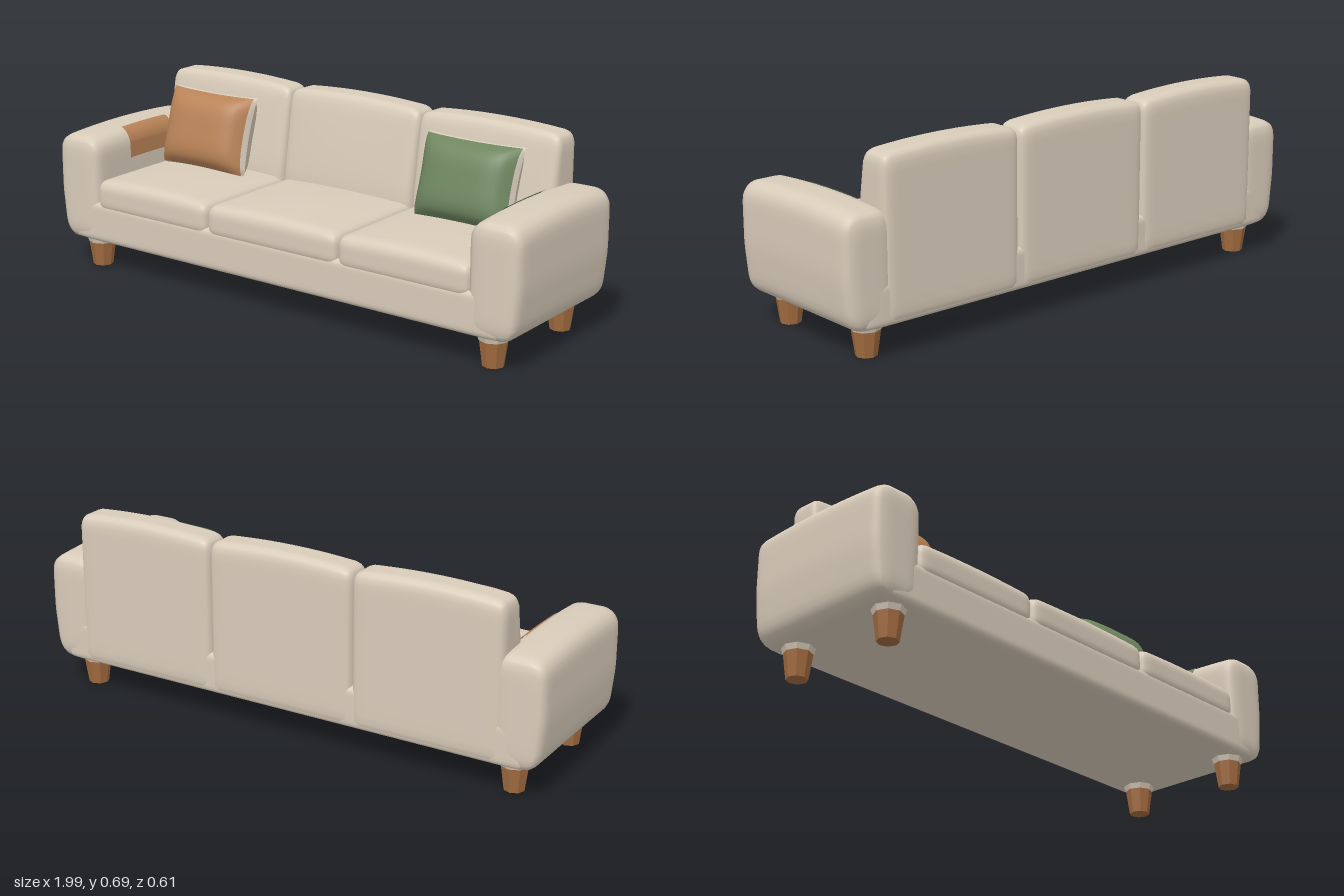
import * as THREE from 'three';
import { mergeVertices } from 'three/addons/utils/BufferGeometryUtils.js';

const paint = (color, extra = {}) => new THREE.MeshStandardMaterial({ color, ...extra });

// Move every vertex by a rule, then weld and smooth.
function reshape(geo, rule) {
  geo.deleteAttribute('uv');
  geo.deleteAttribute('normal');
  const p = geo.attributes.position, v = new THREE.Vector3();
  for (let i = 0; i < p.count; i++) {
    rule(v.fromBufferAttribute(p, i));
    p.setXYZ(i, v.x, v.y, v.z);
  }
  const out = mergeVertices(geo, 1e-5);
  out.computeVertexNormals();
  return out;
}

// Upholstered block between two corners, with its own rounding radius per axis.
function softBox(min, max, radius, bend = () => {}, n = 18) {
  const a = new THREE.Vector3(...min), b = new THREE.Vector3(...max), r = new THREE.Vector3(...radius);
  const mid = a.clone().add(b).multiplyScalar(0.5), half = b.clone().sub(a).multiplyScalar(0.5);
  const inner = half.clone().sub(r), core = new THREE.Vector3();
  return reshape(new THREE.BoxGeometry(2, 2, 2, n, n, n), v => {
    for (const k of ['x', 'y', 'z']) v[k] = Math.sin(v[k] * Math.PI / 2) * half[k];
    core.copy(v).clamp(inner.clone().negate(), inner);
    v.sub(core).divide(r).normalize().multiply(r).add(core);
    const u = v.clone().divide(half);
    v.add(mid);
    bend(v, u);
  });
}

// One side of a throw pillow: a square panel puffed out, with pinched sides.
function pillowSide(sign, extent, lift) {
  const geo = reshape(new THREE.PlaneGeometry(2 * extent, 2 * extent, 18, 18), v => {
    const { x: u, y: w } = v;
    const puff = Math.pow(Math.max(0, (1 - u ** 4) * (1 - w ** 4)), 0.55);
    v.set(0.195 * u * (1 - 0.05 * (1 - w * w)), 0.148 * w * (1 - 0.04 * (1 - u * u)),
      sign * (0.083 * puff + lift));
  });
  if (sign < 0) {
    geo.index.array.reverse();
    geo.computeVertexNormals();
  }
  return geo;
}

export function createModel() {
  const sofa = new THREE.Group();
  sofa.name = 'sofa';
  const fabric = paint(0xd8cbb9), wood = paint(0xa36c40, { flatShading: true });
  const cream = paint(0xd8cbb9, { side: THREE.DoubleSide });
  const rust = paint(0xb98357, { side: THREE.DoubleSide });
  const green = paint(0x6f8760, { side: THREE.DoubleSide });

  const add = (name, geo, mat, parent = sofa) => {
    const mesh = new THREE.Mesh(geo, mat);
    mesh.name = name;
    parent.add(mesh);
    return mesh;
  };

  // Base frame
  add('base', softBox([-0.93, 0.11, -0.3], [0.93, 0.265, 0.3], [0.03, 0.025, 0.025]), fabric);

  // Three seat cushions and three leaning back sections
  const seams = [-0.81, -0.285, 0.285, 0.81];
  for (let i = 0; i < 3; i++) {
    const x0 = seams[i], x1 = seams[i + 1];
    add('seatCushion', softBox([x0, 0.23, -0.2], [x1, 0.35, 0.303], [0.035, 0.04, 0.035], (v, u) => {
      if (u.y > 0) v.y += 0.016 * u.y * (1 - u.x * u.x) * (1 - 0.6 * u.z * u.z);
    }), fabric);
    const b0 = i === 0 ? -0.85 : x0, b1 = i === 2 ? 0.85 : x1;
    add('backSection', softBox([b0, 0.11, -0.305], [b1, 0.677, -0.13], [0.035, 0.045, 0.035], (v, u) => {
      if (u.z > -0.6) v.z -= 0.055 * Math.max(0, (v.y - 0.36) / 0.32) * (u.z + 0.6) / 1.6;
      if (u.z > 0) v.z += 0.012 * u.z * (1 - u.x * u.x) * (1 - u.y * u.y);
      if (u.y > 0) v.y += 0.014 * u.y * (1 - u.x * u.x);
    }), fabric);
  }

  // Arms crowned along their length and drawn in at the foot
  const armBend = v => {
    const h = (v.y - 0.11) / 0.39;
    v.y += 0.014 * Math.max(0, h) * (1 - (v.z / 0.3) ** 2);
    if (v.x > 0.9) v.x -= 0.2 * (v.x - 0.9) * Math.max(0, 1 - h * 2.2);
  };
  const arm = softBox([0.803, 0.11, -0.3], [0.997, 0.5, 0.304], [0.065, 0.065, 0.03], armBend);

  // Coloured cloth strip on the inner shoulder of each arm
  const strip = reshape(new THREE.CylinderGeometry(0.068, 0.068, 0.24, 10, 8, true, -Math.PI / 2, 1.2), v => {
    v.set(0.868 + v.x, 0.435 + v.z, v.y);
    // Lower edge continues down the inner side
    if (v.y < 0.436) v.y = 0.39;
    armBend(v);
  });

  // Tapered legs with fabric collars
  const leg = new THREE.CylinderGeometry(0.05, 0.037, 0.092, 8).translate(0, 0.046, 0);
  const collar = new THREE.CylinderGeometry(0.06, 0.051, 0.03, 8).translate(0, 0.105, 0);
  const collarMat = paint(0xd8cbb9, { flatShading: true });

  for (const side of [-1, 1]) {
    const half = new THREE.Group();
    half.name = side > 0 ? 'leftSide' : 'rightSide';
    half.scale.x = side;
    sofa.add(half);
    add('arm', arm, fabric, half);
    add('armCloth', strip, side > 0 ? green : rust, half);
    for (const z of [0.22, -0.207]) {
      add('leg', leg, wood, half).position.set(0.863, 0, z);
      add('legCollar', collar, collarMat, half).position.set(0.863, 0, z);
    }
  }

  // Throw pillows leaning on the back, with a coloured front cover
  for (const [x, mat] of [[-0.583, rust], [0.563, green]]) {
    const pillow = new THREE.Group();
    pillow.name = 'throwPillow';
    pillow.position.set(x, 0.495, -0.083);
    pillow.rotation.x = -0.28;
    sofa.add(pillow);
    add('pillowFront', pillowSide(1, 1, 0), cream, pillow);
    add('pillowBack', pillowSide(-1, 1, 0), cream, pillow);
    add('pillowCover', pillowSide(1, 0.97, 0.003), mat, pillow);
  }
  return sofa;
}
